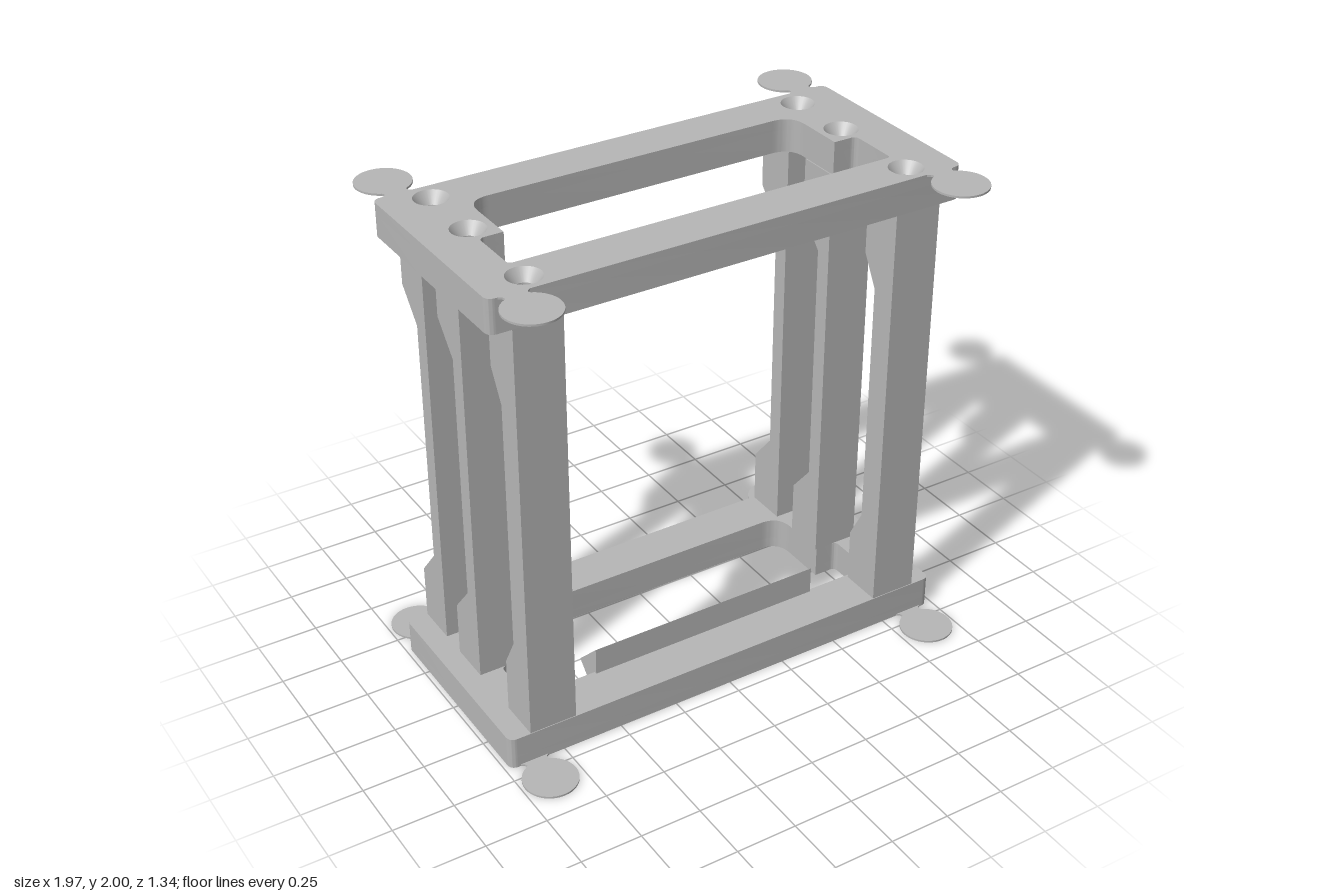
import * as THREE from 'three';
import { toCreasedNormals } from 'three/addons/utils/BufferGeometryUtils.js';

const PLATE = 0.135, HEIGHT = 2, SINK = 0.045;
const HEAD_R = 0.067, SHANK_R = 0.033;
const COL_X = 0.7925, COL_W = 0.195, COL_D = 0.175;
const POCKET_Y0 = 0.232, POCKET_Y1 = 0.288;
const EAR_T = 0.008;

// the three upright pairs: front face z and thickness of the slim middle
const COLUMNS = [
  { name: 'front', z: 0.435, thin: 0.107 },
  { name: 'middle', z: 0.03, thin: 0.07 },
  { name: 'back', z: -0.257, thin: 0.07 },
];

// closed outline through [x, z, cornerRadius] points; z is negated for the extrusion
function outline(points, PathType = THREE.Shape) {
  const path = new PathType();
  const n = points.length;
  const v = points.map(([x, z]) => new THREE.Vector2(x, -z));
  points.forEach(([, , r = 0], i) => {
    const p = v[i];
    const a = v[(i + n - 1) % n].clone().sub(p).setLength(r).add(p);
    const b = v[(i + 1) % n].clone().sub(p).setLength(r).add(p);
    if (i === 0) path.moveTo(a.x, a.y); else path.lineTo(a.x, a.y);
    if (r > 0) path.quadraticCurveTo(p.x, p.y, b.x, b.y);
  });
  path.closePath();
  return path;
}

function circleHole(x, z, r) {
  return new THREE.Path().absarc(x, -z, r, 0, Math.PI * 2, true);
}

// horizontal slab between two heights
function slab(shape, y0, y1) {
  const g = new THREE.ExtrudeGeometry(shape, { depth: y1 - y0, bevelEnabled: false, curveSegments: 16 });
  g.rotateX(-Math.PI / 2).translate(0, y0, 0);
  return toCreasedNormals(g, 0.5);
}

// side profile in [z, y], extruded along x
function sideExtrude(profile, xCenter, width) {
  const shape = new THREE.Shape(profile.map(([z, y]) => new THREE.Vector2(-z, y)));
  const g = new THREE.ExtrudeGeometry(shape, { depth: width, bevelEnabled: false });
  return g.rotateY(Math.PI / 2).translate(xCenter - width / 2, 0, 0);
}

export function createModel() {
  const model = new THREE.Group();
  model.name = 'rackFrame';
  const grey = new THREE.MeshStandardMaterial({ color: 0xb6b6b6 });
  grey.name = 'plainGrey';

  const add = (parent, name, geometry) => {
    const mesh = new THREE.Mesh(geometry, grey);
    mesh.name = name;
    parent.add(mesh);
    return mesh;
  };
  const group = (name) => {
    const g = new THREE.Group();
    g.name = name;
    model.add(g);
    return g;
  };

  const screws = [];
  for (const side of [-1, 1]) {
    for (const c of COLUMNS) screws.push([side * COL_X, c.z - COL_D / 2]);
  }

  // plate outline with its stepped window and a row of screw holes
  const plateShape = (holeR) => {
    const s = outline([[-0.98, 0.438, 0.035], [0.98, 0.438, 0.035], [0.98, -0.438, 0.035], [-0.98, -0.438, 0.035]]);
    s.holes.push(outline([
      [-0.7, -0.253, 0.09], [0.7, -0.253, 0.09], [0.7, 0.03], [0.798, 0.03, 0.025],
      [0.798, 0.247, 0.02], [-0.798, 0.247, 0.02], [-0.798, 0.03, 0.025], [-0.7, 0.03],
    ], THREE.Path));
    for (const [x, z] of screws) s.holes.push(circleHole(x, z, holeR));
    return s;
  };

  for (const top of [false, true]) {
    const plate = group(top ? 'topPlate' : 'bottomPlate');
    const outer = top ? HEIGHT : 0;
    const dir = top ? -1 : 1;
    const seam = outer + dir * SINK, inner = outer + dir * PLATE;
    add(plate, 'plateOuterLayer', slab(plateShape(HEAD_R), Math.min(outer, seam), Math.max(outer, seam)));
    add(plate, 'plateInnerLayer', slab(plateShape(SHANK_R), Math.min(seam, inner), Math.max(seam, inner)));

    // countersinks, facing into the hole
    const cone = [new THREE.Vector2(HEAD_R, outer), new THREE.Vector2(SHANK_R, seam)];
    if (!top) cone.reverse();
    // descending points turn the surface towards the axis
    for (const [x, z] of screws) {
      const pts = [...cone].sort((a, b) => b.y - a.y);
      add(plate, 'countersink', new THREE.LatheGeometry(pts, 32).translate(x, 0, z));
    }

    // thin round corner ears on short necks
    const y0 = top ? HEIGHT - EAR_T : 0;
    for (const sx of [-1, 1]) {
      for (const sz of [-1, 1]) {
        const ear = new THREE.CylinderGeometry(0.108, 0.108, EAR_T, 40);
        add(plate, 'cornerEar', ear.translate(sx * 0.879, y0 + EAR_T / 2, sz * 0.56));
        const neck = outline([
          [-0.06, 0.438], [0.06, 0.438], [0.047, 0.446], [0.043, 0.458], [0.055, 0.47],
          [-0.055, 0.47], [-0.043, 0.458], [-0.047, 0.446],
        ].map(([x, z]) => [sx * 0.879 + x, sz * z]));
        add(plate, 'earNeck', slab(neck, y0, y0 + EAR_T));
      }
    }
  }

  // uprights: slim middle, thick ends with a screw hole and a nut pocket
  for (const side of [-1, 1]) {
    for (const { name, z, thin } of COLUMNS) {
      const column = group(`${name}${side > 0 ? 'Left' : 'Right'}Column`);
      const cx = side * COL_X, x0 = cx - COL_W / 2, x1 = cx + COL_W / 2;
      const back = z - COL_D, slim = z - thin, cz = z - COL_D / 2;
      const lower = [[back, POCKET_Y1], [back, 0.36], [slim, 0.485]];
      const upper = lower.map(([a, y]) => [a, HEIGHT - y]).reverse();
      add(column, 'columnShaft', sideExtrude(
        [[z, POCKET_Y1], ...lower, ...upper, [z, HEIGHT - POCKET_Y1]], cx, COL_W));

      const drilled = outline([[x0, z], [x1, z], [x1, back], [x0, back]]);
      drilled.holes.push(circleHole(cx, cz, SHANK_R));
      // hexagon-ended pocket, open on the +x face
      const h = 0.0675;
      const pocket = outline([
        [x0, z], [x1, z], [x1, cz + h], [cx - 0.039, cz + h], [cx - 0.078, cz],
        [cx - 0.039, cz - h], [x1, cz - h], [x1, back], [x0, back],
      ]);
      add(column, 'lowerColumnEnd', slab(drilled, PLATE, POCKET_Y0));
      add(column, 'lowerNutPocket', slab(pocket, POCKET_Y0, POCKET_Y1));
      add(column, 'upperNutPocket', slab(pocket, HEIGHT - POCKET_Y1, HEIGHT - POCKET_Y0));
      add(column, 'upperColumnEnd', slab(drilled, HEIGHT - POCKET_Y0, HEIGHT - PLATE));
    }
  }

  // pointed support ledge along the front rail
  add(model, 'supportLedge', sideExtrude([[0.259, 0.25], [0.259, 0.012], [0.248, 0.012], [0.134, 0.127]], 0, 1.01));

  return model;
}
